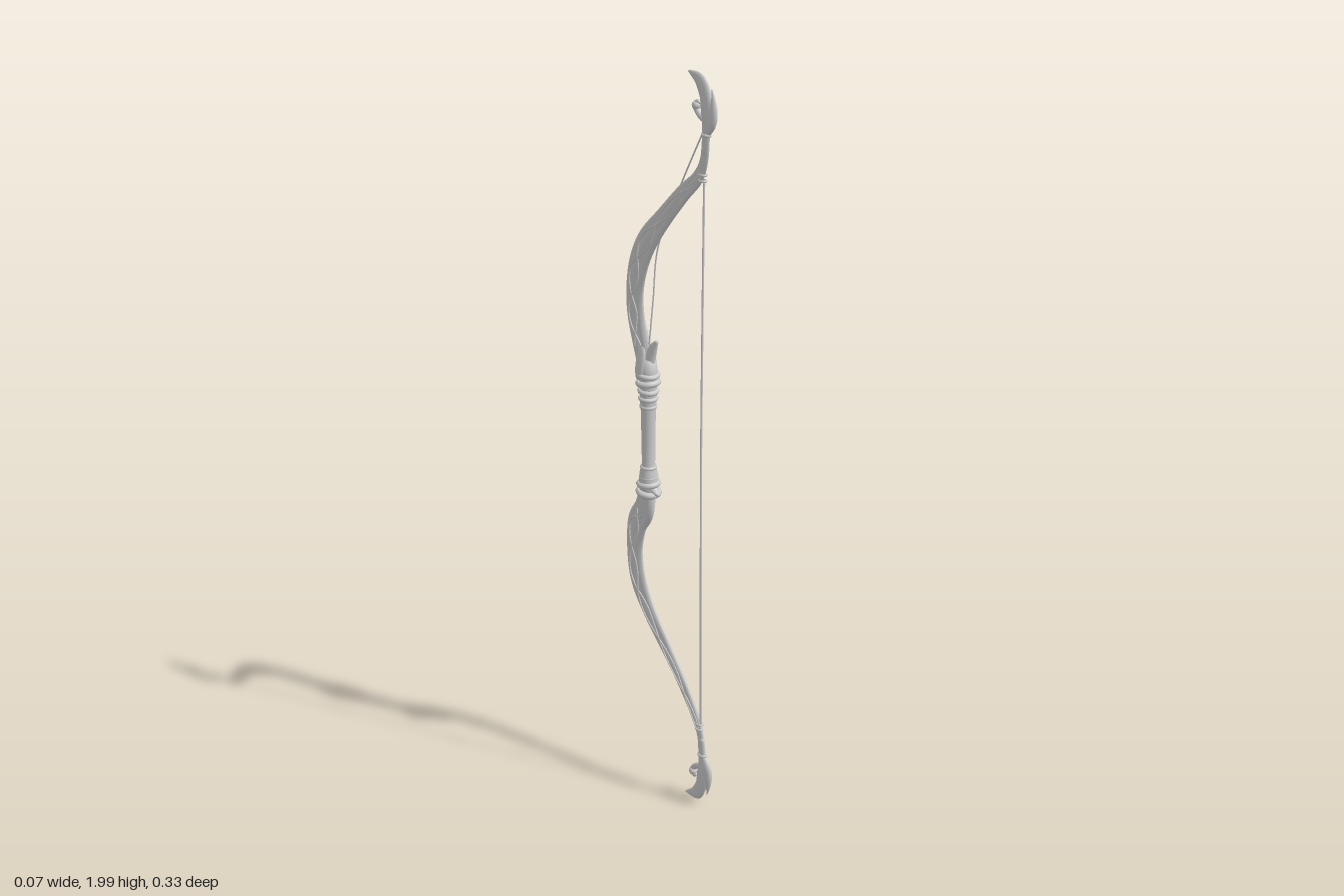
import * as THREE from 'three';

const material = new THREE.MeshStandardMaterial({ color: 0xcccccc, roughness: 0.8, side: THREE.DoubleSide });

function mesh(parent, name, geometry) {
  const m = new THREE.Mesh(geometry, material);
  m.name = name;
  parent.add(m);
  return m;
}

// Smooth curves through stations [z, y, half width in the bow plane, half thickness in x]
function stationCurves(stations) {
  const make = f => new THREE.CatmullRomCurve3(stations.map(f), false, 'catmullrom', 0.5);
  return {
    path: make(s => new THREE.Vector3(0, s[1], s[0])),
    size: make(s => new THREE.Vector3(s[2], s[3], 0)),
  };
}

function frameAt({ path, size }, t) {
  const p = path.getPoint(t), d = path.getTangent(t), s = size.getPoint(t);
  return { p, n: new THREE.Vector3(0, d.z, -d.y), w: Math.max(s.x, 0.001), h: Math.max(s.y, 0.001) };
}

// Capped loft of an oval section; ridge gives the section carved grooves
function loft(stations, rows = 40, sides = 20, ridge = 0) {
  const curves = stationCurves(stations), pos = [], index = [];
  for (let i = 0; i <= rows; i++) {
    const { p, n, w, h } = frameAt(curves, i / rows);
    for (let j = 0; j < sides; j++) {
      const a = j / sides * Math.PI * 2;
      const k = 1 - ridge * Math.abs(Math.cos(a)) * (0.5 + 0.5 * Math.cos(a * 8 + Math.PI));
      const v = n.clone().multiplyScalar(Math.sin(a) * w);
      pos.push(Math.cos(a) * h * k, p.y + v.y, p.z + v.z);
      if (i < rows) {
        const b = i * sides + j, c = i * sides + (j + 1) % sides;
        index.push(b, c, b + sides, c, c + sides, b + sides);
      }
    }
  }
  for (const end of [0, 1]) {
    const c = curves.path.getPoint(end), id = pos.length / 3, base = end * rows * sides;
    pos.push(c.x, c.y, c.z);
    for (let j = 0; j < sides; j++) {
      const a = base + j, b = base + (j + 1) % sides;
      if (end) index.push(id, a, b); else index.push(id, b, a);
    }
  }
  const g = new THREE.BufferGeometry();
  g.setAttribute('position', new THREE.Float32BufferAttribute(pos, 3));
  g.setIndex(index);
  g.computeVertexNormals();
  return g;
}

function tube(points, radius, segments = 40) {
  return new THREE.TubeGeometry(new THREE.CatmullRomCurve3(points), segments, radius, 6);
}

// Raised wavy vines lying on both faces of a limb
function addVines(parent, name, stations) {
  const curves = stationCurves(stations);
  for (const side of [-1, 1]) for (const phase of [0, Math.PI]) {
    const pts = [];
    for (let i = 0; i <= 36; i++) {
      const t = 0.1 + 0.72 * i / 36, { p, n, w, h } = frameAt(curves, t);
      const off = 0.5 * Math.sin(t * 22 + phase);
      pts.push(p.addScaledVector(n, off * w).setX(side * h * Math.sqrt(1 - off * off) * 0.93));
    }
    mesh(parent, name, tube(pts, 0.002, 90));
  }
}

// Curled limb tip; flip mirrors it to the bottom end
function addTip(parent, name, flip) {
  const g = new THREE.Group();
  g.name = name;
  parent.add(g);
  const Y = y => flip ? 2 - y : y;
  const part = (partName, list, rows = 20) =>
    mesh(g, partName, loft(list.map(s => [s[0], Y(s[1]), s[2], s[3]]), rows, 12));
  part('tipHorn', [[0.126, 1.8, 0.011, 0.006], [0.132, 1.86, 0.013, 0.007], [0.135, 1.905, 0.02, 0.01],
    [0.128, 1.945, 0.019, 0.009], [0.108, 1.978, 0.018, 0.007], [0.07, 1.992, 0.003, 0.003]], 28);
  part('tipLeaf', [[0.135, 1.85, 0.006, 0.005], [0.148, 1.88, 0.014, 0.009], [0.154, 1.91, 0.013, 0.009],
    [0.155, 1.94, 0.006, 0.005], [0.15, 1.965, 0.001, 0.001]]);
  part('tipSpur', [[0.13, 1.885, 0.01, 0.007], [0.11, 1.893, 0.008, 0.007], [0.094, 1.91, 0.008, 0.006],
    [0.1, 1.925, 0.006, 0.005], [0.11, 1.922, 0.002, 0.002]]);
  mesh(g, 'tipBead', new THREE.SphereGeometry(0.011, 14, 10)).position.set(0, Y(1.915), 0.096);
  const binding = mesh(g, 'tipBinding', new THREE.TorusGeometry(0.011, 0.004, 8, 18));
  binding.rotation.x = Math.PI / 2;
  binding.scale.x = 0.7;
  binding.position.set(0, Y(1.85), 0.131);
}

export function createModel() {
  const bow = new THREE.Group();
  bow.name = 'bow';

  // Limbs
  const upper = [[-0.088, 1.19, 0.024, 0.018], [-0.104, 1.247, 0.03, 0.016], [-0.125, 1.315, 0.031, 0.012],
    [-0.129, 1.385, 0.031, 0.011], [-0.114, 1.46, 0.033, 0.011], [-0.08, 1.53, 0.032, 0.01],
    [-0.02, 1.605, 0.025, 0.009], [0.05, 1.685, 0.021, 0.008], [0.102, 1.738, 0.017, 0.007],
    [0.125, 1.79, 0.013, 0.006], [0.131, 1.86, 0.012, 0.006]];
  const lower = [[-0.085, 0.84, 0.026, 0.02], [-0.098, 0.785, 0.034, 0.016], [-0.126, 0.735, 0.034, 0.012],
    [-0.136, 0.655, 0.029, 0.011], [-0.122, 0.57, 0.03, 0.011], [-0.08, 0.495, 0.026, 0.01],
    [-0.01, 0.41, 0.021, 0.009], [0.058, 0.325, 0.017, 0.008], [0.112, 0.24, 0.013, 0.007],
    [0.126, 0.19, 0.01, 0.006], [0.131, 0.14, 0.011, 0.006]];
  mesh(bow, 'upperLimb', loft(upper, 90, 32, 0.3));
  mesh(bow, 'lowerLimb', loft(lower, 90, 32, 0.3));
  addVines(bow, 'upperVine', upper);
  addVines(bow, 'lowerVine', lower);
  addTip(bow, 'upperTip', false);
  addTip(bow, 'lowerTip', true);

  // Turned grip
  const profile = [[0, 0.83], [0.022, 0.83], [0.026, 0.87], [0.023, 0.9], [0.017, 0.925], [0.018, 1.0],
    [0.019, 1.07], [0.021, 1.1], [0.022, 1.14], [0.024, 1.18], [0.021, 1.215], [0, 1.22]];
  const grip = mesh(bow, 'grip', new THREE.LatheGeometry(profile.map(p => new THREE.Vector2(...p)), 28));
  grip.position.z = -0.08;

  // Rounded collars: [y, radius, thickness, tilt]
  const collars = [[0.845, 0.025, 0.009, 0.12], [0.868, 0.024, 0.008, -0.1], [0.887, 0.019, 0.006, 0],
    [0.915, 0.017, 0.005, 0], [1.085, 0.018, 0.005, 0], [1.107, 0.02, 0.006, 0],
    [1.128, 0.021, 0.007, 0.08], [1.15, 0.025, 0.008, -0.12], [1.173, 0.024, 0.007, 0.1]];
  for (const [y, r, thick, tilt] of collars) {
    const c = mesh(bow, 'collar', new THREE.TorusGeometry(r, thick, 10, 28));
    c.rotation.x = Math.PI / 2 + tilt;
    c.position.set(0, y, -0.08);
  }

  // Pointed spurs on the collars
  const spurs = [
    [[-0.095, 0.875, 0.012, 0.014], [-0.113, 0.858, 0.008, 0.009], [-0.13, 0.85, 0.001, 0.001]],
    [[-0.07, 0.865, 0.012, 0.014], [-0.052, 0.85, 0.008, 0.009], [-0.038, 0.846, 0.001, 0.001]],
    [[-0.095, 1.15, 0.012, 0.014], [-0.112, 1.165, 0.008, 0.009], [-0.126, 1.168, 0.001, 0.001]],
  ];
  for (const s of spurs) mesh(bow, 'collarSpur', loft(s, 12, 12));
  mesh(bow, 'arrowRestProng', loft([[-0.085, 1.17, 0.02, 0.018], [-0.072, 1.22, 0.016, 0.013],
    [-0.06, 1.25, 0.012, 0.009], [-0.046, 1.272, 0.004, 0.004]], 20, 14));
  // Side leaves sweeping up from the upper collar
  for (const side of [-1, 1]) {
    const leaf = mesh(bow, 'sideLeaf', new THREE.SphereGeometry(1, 14, 10));
    leaf.scale.set(0.007, 0.045, 0.016);
    leaf.position.set(side * 0.019, 1.205, -0.088);
    leaf.rotation.z = side * 0.2;
  }

  // Strings and their wrapped loops
  const V = (z, y) => new THREE.Vector3(0, y, z);
  mesh(bow, 'bowString', tube([V(0.125, 1.74), V(0.122, 1.37), V(0.12, 1), V(0.122, 0.6), V(0.125, 0.225)], 0.0028));
  mesh(bow, 'braceString', tube([V(0.128, 1.87), V(0.04, 1.7), V(-0.042, 1.52), V(-0.06, 1.38), V(-0.076, 1.25)], 0.002));
  for (const y of [1.735, 1.75, 0.225, 0.24]) {
    const loop = mesh(bow, 'stringLoop', new THREE.TorusGeometry(0.011, 0.003, 8, 18));
    loop.rotation.x = Math.PI / 2;
    loop.scale.x = 0.7;
    loop.position.set(0, y, 0.119);
  }
  return bow;
}
